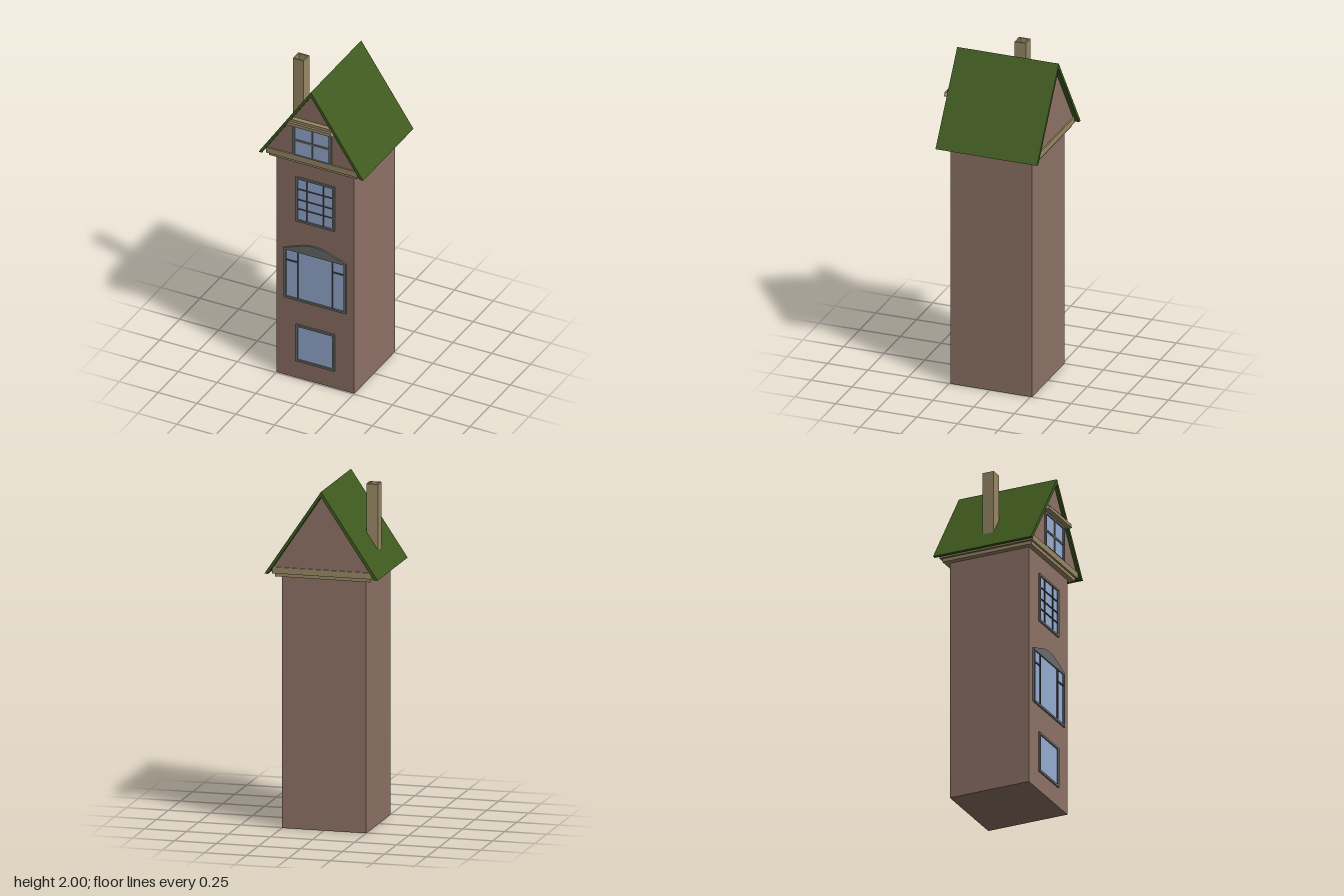
import * as THREE from 'three';

const paint = (color) => new THREE.MeshStandardMaterial({ color, flatShading: true });

export function createModel() {
  const house = new THREE.Group();
  house.name = 'townHouse';

  const brick = paint(0x8f7366);
  const stone = paint(0x9a8966);
  const green = paint(0x3f5a1e);
  const frameGrey = paint(0x6a6c6c);
  const barGrey = paint(0x45494d);
  const glassBlue = paint(0x98aed4);

  const midZ = -0.0085; // centre of the tower's depth
  const wallZ = 0.243; // front face of the tower
  const gableZ = 0.28; // front face of the gable

  const add = (parent, name, geometry, material, x = 0, y = 0, z = 0) => {
    const mesh = new THREE.Mesh(geometry, material);
    mesh.name = name;
    mesh.position.set(x, y, z);
    parent.add(mesh);
    return mesh;
  };
  // Box given by its limits
  const box = (parent, name, material, x0, x1, y0, y1, z0, z1) =>
    add(parent, name, new THREE.BoxGeometry(x1 - x0, y1 - y0, z1 - z0), material,
      (x0 + x1) / 2, (y0 + y1) / 2, (z0 + z1) / 2);
  const polygon = (points) => new THREE.Shape(points.map(([x, y]) => new THREE.Vector2(x, y)));
  const rectangle = (x0, x1, y0, y1) => polygon([[x0, y0], [x1, y0], [x1, y1], [x0, y1]]);
  // Shape in the xy plane extruded between two depths
  const slab = (parent, name, material, shape, z0, z1) =>
    add(parent, name, new THREE.ExtrudeGeometry(shape,
      { depth: z1 - z0, bevelEnabled: false, curveSegments: 8 }), material, 0, 0, z0);

  // Tower and stepped cornice
  box(house, 'towerWalls', brick, -0.25, 0.25, 0, 1.49, midZ - 0.252, wallZ);
  box(house, 'lowerCornice', stone, -0.283, 0.283, 1.48, 1.5, midZ - 0.283, midZ + 0.283);
  box(house, 'upperCornice', stone, -0.296, 0.296, 1.5, 1.537, midZ - 0.296, midZ + 0.296);

  // Attic with its two gables, and the pitched roof over it
  slab(house, 'atticGables', brick, polygon([[-0.293, 1.535], [0.293, 1.535], [0, 1.972]]),
    2 * midZ - gableZ, gableZ);
  slab(house, 'roof', green, polygon([
    [-0.337, 1.5], [-0.315, 1.5], [0, 1.968], [0.315, 1.5], [0.337, 1.5], [0, 2],
  ]), -0.325, 0.3);

  // Hollow chimney
  const flue = rectangle(-0.035, 0.035, -0.035, 0.035);
  flue.holes.push(rectangle(-0.027, 0.027, -0.027, 0.027));
  const chimney = add(house, 'chimney',
    new THREE.ExtrudeGeometry(flue, { depth: 0.42, bevelEnabled: false }), stone, -0.225, 1.58, -0.012);
  chimney.rotation.x = -Math.PI / 2;

  // Window: frame with an opening, a sunk pane and glazing bars [x0, x1, y0, y1]
  const addWindow = (name, outline, [x0, x1, y0, y1], z, bars, barMaterial) => {
    const group = new THREE.Group();
    group.name = name;
    outline.holes.push(rectangle(x0, x1, y0, y1));
    slab(group, 'frame', frameGrey, outline, z - 0.01, z + 0.01);
    box(group, 'glass', glassBlue, x0, x1, y0, y1, z - 0.01, z + 0.002);
    for (const [a, b, c, d] of bars) box(group, 'glazingBar', barMaterial, a, b, c, d, z - 0.005, z + 0.008);
    house.add(group);
  };
  const upright = (x, y0, y1, w) => [x - w / 2, x + w / 2, y0, y1];
  const crossbar = (y, x0, x1, w) => [x0, x1, y - w / 2, y + w / 2];

  // Ground floor: single pane
  addWindow('groundWindow', rectangle(-0.125, 0.125, 0.117, 0.365),
    [-0.111, 0.111, 0.13, 0.352], wallZ, [], barGrey);

  // First floor: wide window under a curved head
  const arch = new THREE.Shape();
  arch.moveTo(-0.2, 0.528);
  arch.lineTo(0.2, 0.528);
  arch.lineTo(0.2, 0.865);
  arch.lineTo(0.08, 0.909);
  arch.quadraticCurveTo(0, 0.933, -0.08, 0.909);
  arch.lineTo(-0.2, 0.865);
  const archBars = [];
  for (const s of [-1, 1]) {
    archBars.push(upright(s * 0.112, 0.541, 0.855, 0.008));
    archBars.push(crossbar(0.785, Math.min(s * 0.116, s * 0.186), Math.max(s * 0.116, s * 0.186), 0.008));
  }
  addWindow('archedWindow', arch, [-0.186, 0.186, 0.541, 0.855], wallZ, archBars, barGrey);

  // Second floor: three by four panes
  const gridBars = [-0.052, 0.052].map((x) => upright(x, 1.078, 1.352, 0.006));
  for (const y of [1.15, 1.213, 1.284]) gridBars.push(crossbar(y, -0.111, 0.111, 0.006));
  addWindow('griddedWindow', rectangle(-0.125, 0.125, 1.065, 1.365),
    [-0.111, 0.111, 1.078, 1.352], wallZ, gridBars, barGrey);

  // Attic window with a cross
  addWindow('atticWindow', rectangle(-0.125, 0.125, 1.537, 1.752),
    [-0.11, 0.11, 1.54, 1.738], gableZ,
    [upright(0, 1.54, 1.738, 0.012), crossbar(1.637, -0.11, 0.11, 0.012)], frameGrey);

  // Moulding over the attic window, its ends following the roof pitch
  const moulding = (name, bottom, top, y0, y1, front) => slab(house, name, stone,
    polygon([[-bottom, y0], [bottom, y0], [top, y1], [-top, y1]]), gableZ - 0.01, front);
  moulding('lowerWindowMoulding', 0.15, 0.137, 1.75, 1.771, 0.322);
  moulding('upperWindowMoulding', 0.134, 0.122, 1.771, 1.788, 0.308);

  return house;
}
